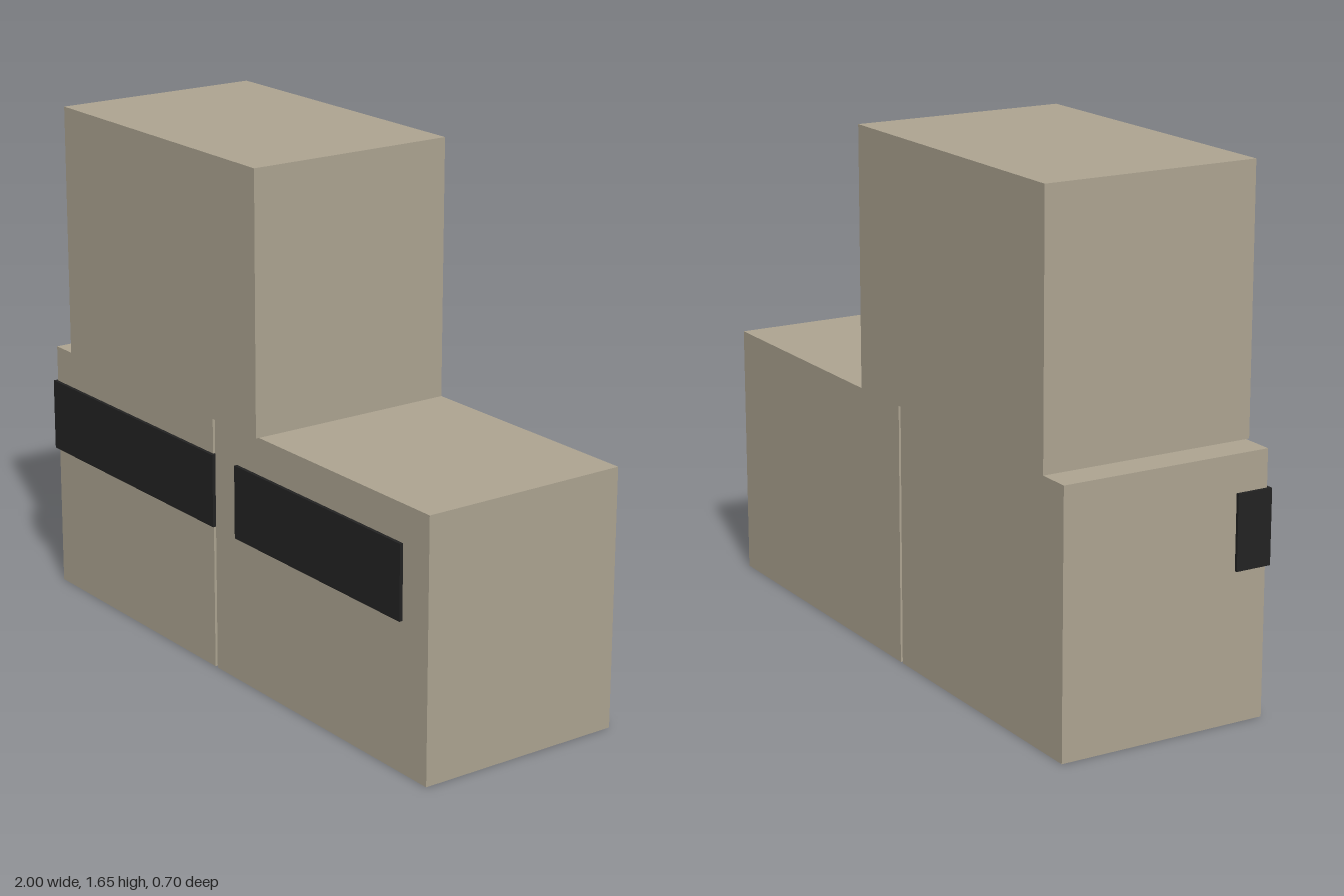
import * as THREE from 'three';

const stone = new THREE.MeshStandardMaterial({ color: 0xada491, side: THREE.DoubleSide });
stone.name = 'stone';
const black = new THREE.MeshStandardMaterial({ color: 0x222222 });
black.name = 'black';

// Box given by its lower and upper corners
function block(name, [x0, y0, z0], [x1, y1, z1], material) {
  const geometry = new THREE.BoxGeometry(x1 - x0, y1 - y0, z1 - z0);
  geometry.translate((x0 + x1) / 2, (y0 + y1) / 2, (z0 + z1) / 2);
  const mesh = new THREE.Mesh(geometry, material);
  mesh.name = name;
  return mesh;
}

// Thin-walled box with an open underside
function shell(name, low, high) {
  const mesh = block(name, low, high, stone);
  const index = Array.from(mesh.geometry.index.array);
  index.splice(18, 6); // the bottom face
  mesh.geometry.setIndex(index);
  mesh.geometry.clearGroups();
  return mesh;
}

export function createModel() {
  const model = new THREE.Group();
  model.name = 'stackedBlocks';

  // Two ground-floor volumes with a narrow gap, and one volume on top
  model.add(
    shell('lowerRightVolume', [-0.99, 0, -0.352], [-0.072, 0.824, 0.341]),
    shell('lowerLeftVolume', [-0.06, 0, -0.352], [0.998, 0.824, 0.341]),
    shell('upperVolume', [-0.883, 0.824, -0.352], [0.175, 1.648, 0.352]),
  );

  // Window bands set through the front walls
  model.add(
    block('rightWindowBand', [-1, 0.471, 0.234], [-0.06, 0.706, 0.352], black),
    block('leftWindowBand', [0.058, 0.471, 0.234], [0.88, 0.706, 0.352], black),
  );
  return model;
}
